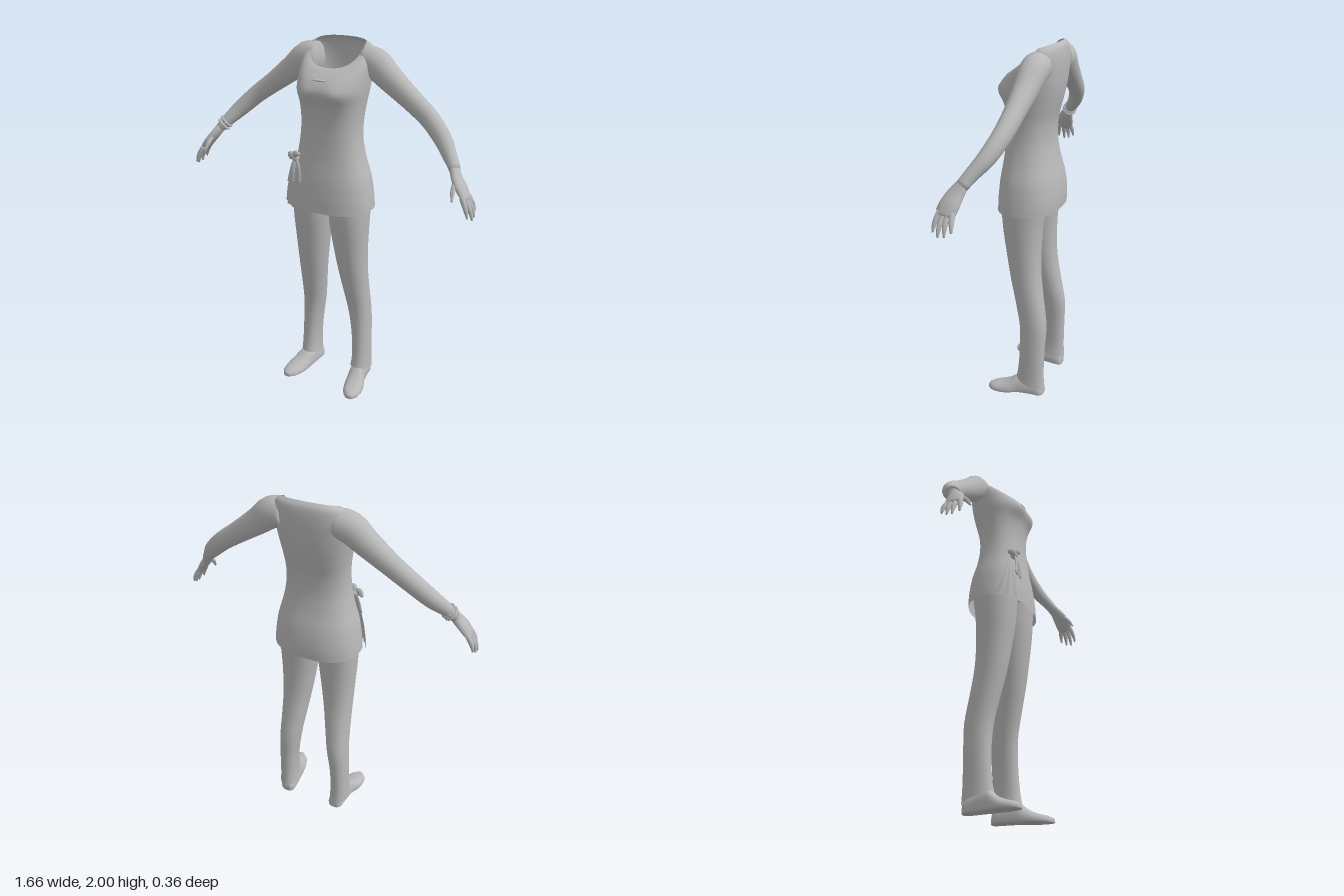
import * as THREE from 'three';

const fabric = new THREE.MeshStandardMaterial({ color: 0xb8b8b8, side: THREE.DoubleSide });
fabric.name = 'plain grey';

// Grid surface from point(v, a): v runs 0..1 along the part, a around it
function surface(rows, cols, point, { closed = true, caps = false } = {}) {
  const pos = [], index = [], n = closed ? cols : cols + 1;
  for (let i = 0; i <= rows; i++) {
    for (let j = 0; j < n; j++) {
      pos.push(...point(i / rows, closed ? (j / cols) * Math.PI * 2 : j / cols));
    }
  }
  for (let i = 0; i < rows; i++) {
    for (let j = 0; j < cols; j++) {
      const k = (j + 1) % n, a = i * n + j, b = i * n + k;
      index.push(a, a + n, b, b, a + n, b + n);
    }
  }
  if (caps) {
    for (const i of [0, rows]) {
      const c = [0, 0, 0], id = pos.length / 3;
      for (let j = 0; j < n; j++) for (let d = 0; d < 3; d++) c[d] += pos[(i * n + j) * 3 + d] / n;
      pos.push(...c);
      for (let j = 0; j < n; j++) {
        const a = i * n + j, b = i * n + ((j + 1) % n);
        if (i === 0) index.push(id, a, b);
        else index.push(id, b, a);
      }
    }
  }
  const g = new THREE.BufferGeometry();
  g.setAttribute('position', new THREE.Float32BufferAttribute(pos, 3));
  g.setIndex(index);
  g.computeVertexNormals();
  return g;
}

// Smoothly interpolated row of a table of sections
function sample(rows, v) {
  const t = v * (rows.length - 1), i = Math.min(Math.floor(t), rows.length - 2), f = t - i;
  const at = (k) => rows[Math.max(0, Math.min(rows.length - 1, k))];
  return rows[0].map((_, c) => {
    const [p, q, r, s] = [at(i - 1)[c], at(i)[c], at(i + 1)[c], at(i + 2)[c]];
    return q + 0.5 * f * (r - p + f * (2 * p - 5 * q + 4 * r - s + f * (3 * (q - r) + s - p)));
  });
}

const power = (x, e) => Math.sign(x) * Math.abs(x) ** e;

// Round limb through rows of [x, y, z, radius in plane, radius in depth]
function limb(rows, cols = 14, steps = 3) {
  const centre = (v) => new THREE.Vector3(...sample(rows, v).slice(0, 3));
  return surface((rows.length - 1) * steps, cols, (v, a) => {
    const t = centre(Math.min(1, v + 0.01)).sub(centre(Math.max(0, v - 0.01))).normalize();
    const e2 = new THREE.Vector3(0, 0, 1).addScaledVector(t, -t.z).normalize();
    const e1 = t.clone().cross(e2), s = sample(rows, v);
    return centre(v).addScaledVector(e1, s[3] * Math.cos(a)).addScaledVector(e2, s[4] * Math.sin(a)).toArray();
  }, { caps: true });
}

// Tunic sections: front y, side y, back y, half width, front z, side z, back z
const TUNIC = [
  [1.125, 1.135, 1.13, 0.24, 0.155, 0, -0.176],
  [1.2, 1.2, 1.2, 0.234, 0.152, 0, -0.178],
  [1.3, 1.3, 1.3, 0.218, 0.142, 0, -0.166],
  [1.4, 1.4, 1.4, 0.19, 0.126, 0, -0.141],
  [1.5, 1.5, 1.5, 0.171, 0.115, 0, -0.126],
  [1.6, 1.6, 1.6, 0.167, 0.112, -0.01, -0.13],
  [1.69, 1.69, 1.69, 0.175, 0.125, -0.02, -0.152],
  [1.76, 1.76, 1.76, 0.185, 0.15, -0.03, -0.168],
  [1.815, 1.83, 1.83, 0.19, 0.125, -0.055, -0.177],
  [1.85, 1.91, 1.91, 0.193, 0.085, -0.08, -0.18],
  [1.865, 1.965, 1.975, 0.175, 0.06, -0.09, -0.173],
  [1.87, 1.98, 2.0, 0.142, 0.045, -0.09, -0.152],
];
function tunicPoint(v, a, out = 0) {
  const [yf, ys, yb, w, zf, zs, zb] = sample(TUNIC, v);
  const c = Math.cos(a), s = Math.sin(a), k = Math.abs(s);
  const x = (w + out) * power(c, 0.82);
  const y = ys + ((s > 0 ? yf : yb) - ys) * k ** 0.75;
  const depth = s > 0 ? zf + out - zs : zs - zb + out;
  // Bust fullness either side of the centre line
  const bust = s > 0 ? 0.012 * Math.exp(-(((Math.abs(x) - 0.085) / 0.05) ** 2) - ((y - 1.75) / 0.05) ** 2) : 0;
  return [x, y, zs + depth * power(s, 0.85) + bust];
}

// Trouser leg: back y, front y, inner x, outer x, back z, front z
const LEG = [
  [0.045, 0.1, 0.115, 0.226, -0.147, 0.02],
  [0.14, 0.17, 0.12, 0.222, -0.142, 0.008],
  [0.3, 0.3, 0.112, 0.219, -0.145, 0.0],
  [0.45, 0.45, 0.092, 0.214, -0.149, 0.005],
  [0.6, 0.6, 0.07, 0.21, -0.127, 0.034],
  [0.75, 0.75, 0.047, 0.209, -0.105, 0.066],
  [0.9, 0.9, 0.025, 0.213, -0.1, 0.09],
  [1.05, 1.05, 0.006, 0.22, -0.108, 0.11],
  [1.2, 1.2, -0.005, 0.222, -0.13, 0.12],
];
const leg = surface(32, 24, (v, a) => {
  const [yb, yf, xi, xo, zb, zf] = sample(LEG, v), s = Math.sin(a);
  return [
    (xi + xo) / 2 + ((xo - xi) / 2) * power(Math.cos(a), 0.9),
    yb + (yf - yb) * (0.5 + 0.5 * s),
    (zb + zf) / 2 + ((zf - zb) / 2) * power(s, 0.9),
  ];
});

// Flat shoe: z, centre x, half width, height
const SHOE = [
  [-0.142, 0.162, 0.022, 0.045], [-0.125, 0.164, 0.042, 0.075], [-0.07, 0.167, 0.046, 0.1],
  [0, 0.176, 0.05, 0.11], [0.05, 0.19, 0.058, 0.075], [0.1, 0.2, 0.058, 0.052],
  [0.15, 0.208, 0.045, 0.038], [0.18, 0.212, 0.018, 0.024],
];
const shoe = surface(21, 22, (v, a) => {
  const [z, x, w, h] = sample(SHOE, v), s = -Math.sin(a);
  const y = s >= 0 ? h * (0.25 + 0.75 * s) : 0.25 * h * (1 - (-s) ** 0.4);
  return [x + w * power(Math.cos(a), 0.8), y, z];
}, { caps: true });

const arm = limb([
  [0.13, 1.9, -0.098, 0.07, 0.066], [0.2, 1.887, -0.095, 0.078, 0.071], [0.28, 1.825, -0.09, 0.068, 0.063],
  [0.4, 1.737, -0.083, 0.056, 0.051], [0.51, 1.657, -0.07, 0.05, 0.046], [0.6, 1.575, -0.035, 0.045, 0.042],
  [0.66, 1.51, 0.012, 0.035, 0.034], [0.7, 1.462, 0.045, 0.026, 0.032],
], 18);
const palm = limb([
  [0.692, 1.475, 0.038, 0.024, 0.028], [0.72, 1.43, 0.065, 0.023, 0.042],
  [0.755, 1.385, 0.082, 0.022, 0.05], [0.785, 1.34, 0.09, 0.014, 0.044],
]);
// Finger knuckle, middle and tip
const FINGERS = [
  [[0.77, 1.36, 0.122], [0.797, 1.312, 0.136], [0.812, 1.268, 0.142]],
  [[0.776, 1.352, 0.1], [0.81, 1.3, 0.108], [0.826, 1.252, 0.11]],
  [[0.778, 1.352, 0.078], [0.81, 1.302, 0.08], [0.823, 1.258, 0.079]],
  [[0.775, 1.358, 0.057], [0.803, 1.315, 0.05], [0.815, 1.278, 0.047]],
  [[0.722, 1.425, 0.09], [0.727, 1.385, 0.132], [0.735, 1.345, 0.158]],
];
const fingers = FINGERS.map((p) => limb(p.map((q, i) => [...q, [0.014, 0.012, 0.005][i], [0.014, 0.012, 0.005][i]]), 8));

// Two bangles set across the wrist
const wristAim = new THREE.Quaternion().setFromUnitVectors(
  new THREE.Vector3(0, 0, 1), new THREE.Vector3(0.62, -0.68, 0.4).normalize());
const bangles = [[0.672, 1.497, 0.022], [0.684, 1.481, 0.031]].map((p) =>
  new THREE.TorusGeometry(0.035, 0.007, 8, 20).applyQuaternion(wristAim).translate(...p));

function mirrored(geometry) {
  const g = geometry.clone().scale(-1, 1, 1), id = g.index.array;
  for (let i = 0; i < id.length; i += 3) [id[i], id[i + 1]] = [id[i + 1], id[i]];
  g.computeVertexNormals();
  return g;
}

export function createModel() {
  const model = new THREE.Group();
  model.name = 'headlessFigure';
  const add = (name, geometry, parent = model) => {
    const mesh = new THREE.Mesh(geometry, fabric);
    mesh.name = name;
    parent.add(mesh);
  };

  add('tunic', surface(44, 48, (v, a) => tunicPoint(v, a)));
  add('necklineGather', new THREE.SphereGeometry(1, 12, 8).scale(0.045, 0.006, 0.012).translate(0, 1.822, 0.118));

  for (const side of ['left', 'right']) {
    const half = new THREE.Group();
    half.name = side + 'Limbs';
    model.add(half);
    const put = (name, g) => add(side + name, side === 'left' ? g : mirrored(g), half);
    put('TrouserLeg', leg);
    put('Shoe', shoe);
    put('Arm', arm);
    put('Palm', palm);
    fingers.forEach((g, i) => put(i < 4 ? 'Finger' + (i + 1) : 'Thumb', g));
    if (side === 'right') bangles.forEach((g, i) => put('Bangle' + (i + 1), g));
  }

  // Draped sash panel fanning out from the bow down to the hem
  add('sashPanel', surface(12, 14, (v, u) => {
    const spread = 1 - v, start = 2.28 - 0.22 * spread, end = 2.4 + 0.55 * spread;
    const fold = 0.004 * Math.sin(u * Math.PI * 6) * spread;
    return tunicPoint(v * 0.28, start + (end - start) * u, 0.016 + fold);
  }, { closed: false }));

  // Bow on the right hip: knot, two loops and two tails
  const bow = new THREE.Group();
  bow.name = 'bow';
  model.add(bow);
  add('bowKnot', new THREE.SphereGeometry(0.02, 12, 8).translate(-0.145, 1.4, 0.125), bow);
  add('bowLoopOuter', limb([[-0.14, 1.4, 0.125, 0.008, 0.01], [-0.17, 1.412, 0.13, 0.024, 0.014], [-0.195, 1.4, 0.112, 0.008, 0.006]], 10), bow);
  add('bowLoopInner', limb([[-0.15, 1.4, 0.125, 0.008, 0.01], [-0.135, 1.43, 0.14, 0.018, 0.014], [-0.11, 1.43, 0.142, 0.007, 0.006]], 10), bow);
  add('bowTailInner', limb([[-0.14, 1.4, 0.13, 0.008, 0.006], [-0.118, 1.35, 0.145, 0.014, 0.006], [-0.118, 1.27, 0.15, 0.016, 0.005]], 10), bow);
  add('bowTailOuter', limb([[-0.148, 1.4, 0.13, 0.008, 0.006], [-0.155, 1.34, 0.145, 0.016, 0.006], [-0.165, 1.27, 0.15, 0.02, 0.005]], 10), bow);

  return model;
}
